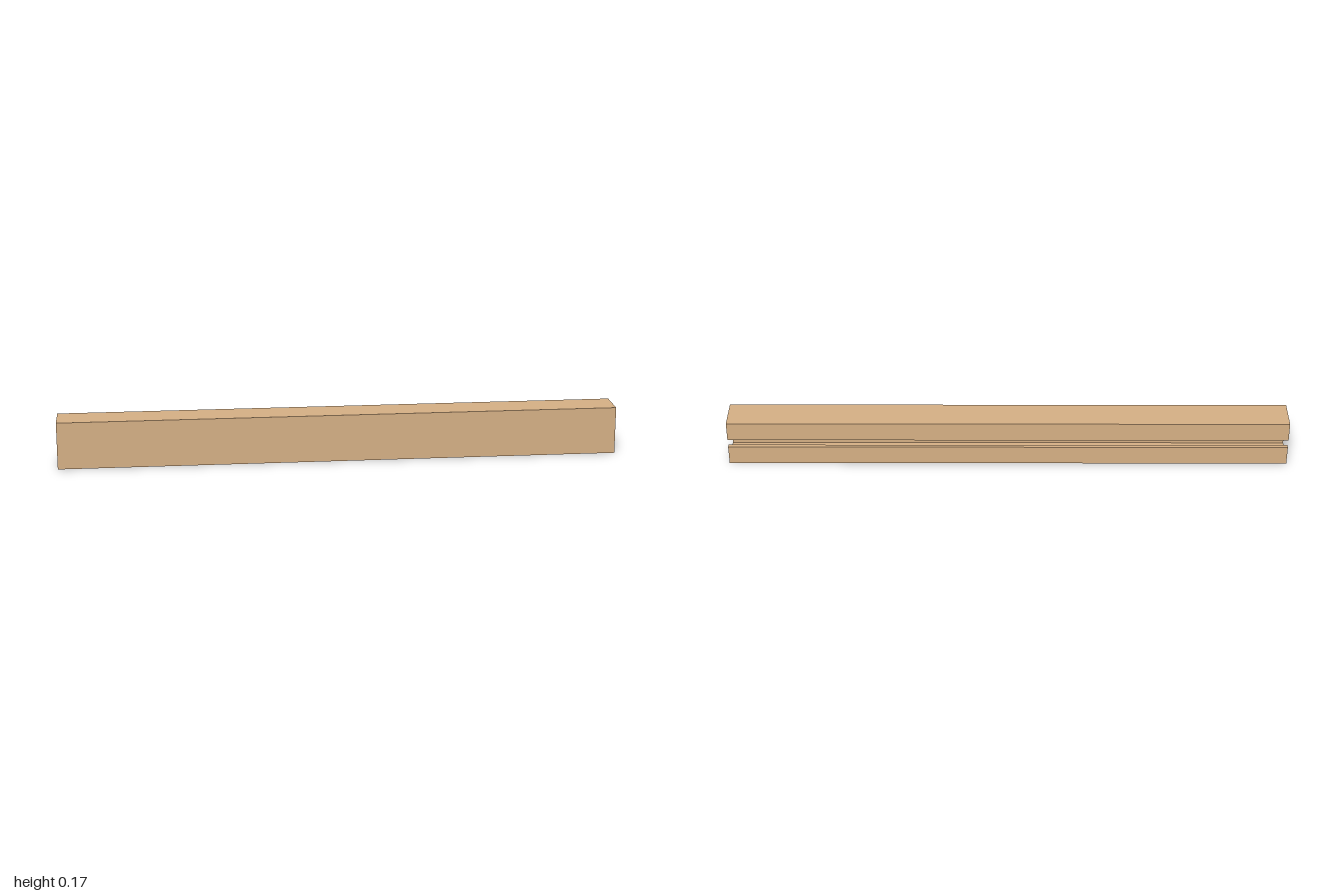
import * as THREE from 'three';

export function createModel() {
  const group = new THREE.Group();
  group.name = 'slottedChannel';

  const length = 2;
  const height = 0.17;
  const half = 0.0615; // half depth
  const wall = 0.0143;
  const slotLow = 0.07;
  const slotHigh = 0.1;
  const inner = half - wall;

  // C-shaped cross-section, open towards the back
  const profile = new THREE.Shape([
    [half, slotLow], [inner, slotLow], [inner, wall], [-inner, wall],
    [-inner, height - wall], [inner, height - wall], [inner, slotHigh], [half, slotHigh],
    [half, height], [-half, height], [-half, 0], [half, 0],
  ].map(([x, y]) => new THREE.Vector2(x, y)));

  // Run the section along x
  const geometry = new THREE.ExtrudeGeometry(profile, { depth: length, bevelEnabled: false });
  geometry.translate(0, 0, -length / 2);
  geometry.rotateY(Math.PI / 2);

  const rail = new THREE.Mesh(geometry, new THREE.MeshStandardMaterial({ color: 0xd6b085 }));
  rail.name = 'rail';
  group.add(rail);
  return group;
}
